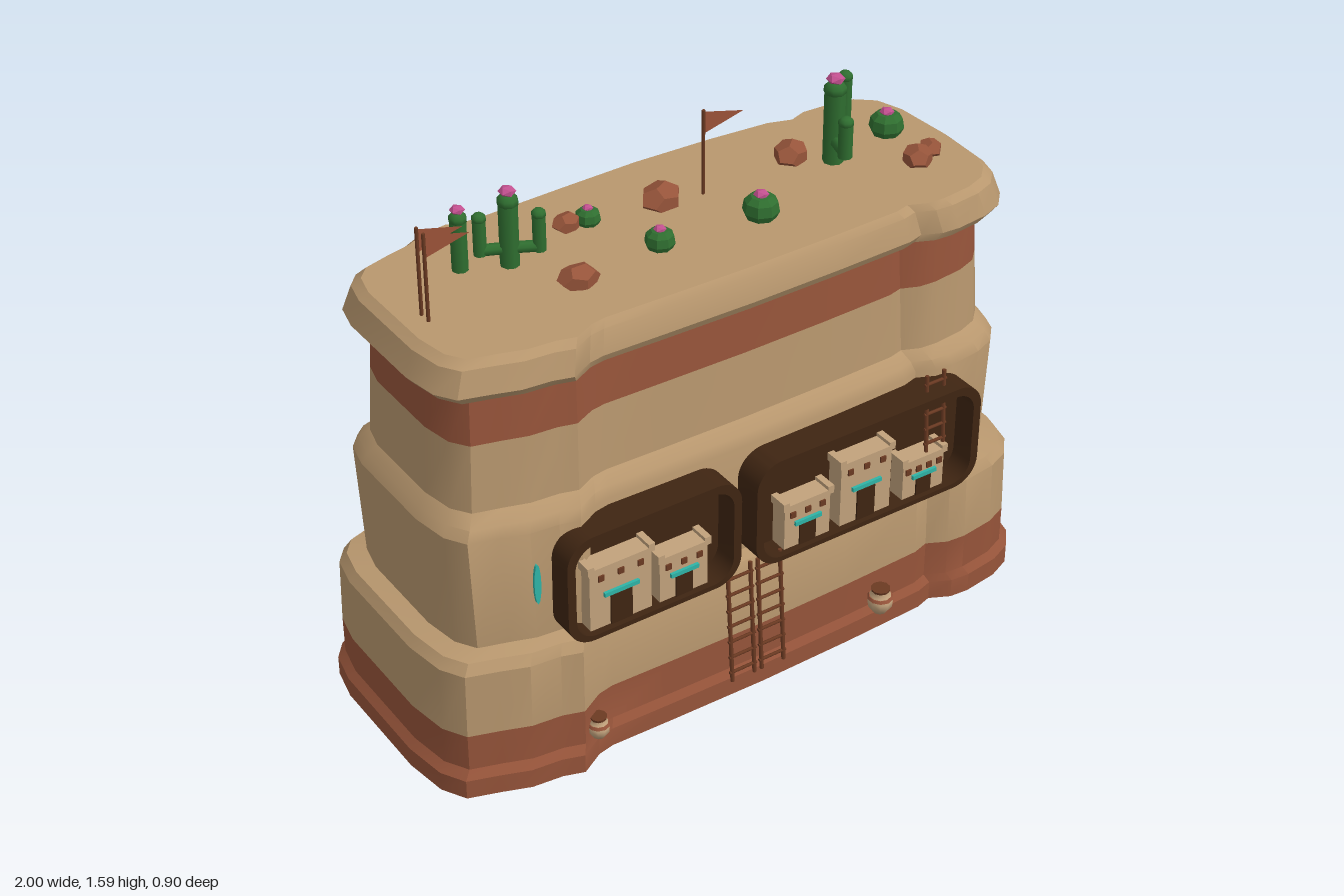
import * as THREE from 'three';
import { toCreasedNormals } from 'three/addons/utils/BufferGeometryUtils.js';

const mat = (name, color, side = THREE.FrontSide) => {
  const m = new THREE.MeshStandardMaterial({ color, side });
  m.name = name;
  return m;
};

export function createModel() {
  const M = {
    sand: mat('sandstone', 0xb8976e),
    red: mat('redRock', 0x96543a),
    dark: mat('caveShadow', 0x3f2512),
    wood: mat('wood', 0x6b3a22),
    adobe: mat('adobe', 0xc2a27c),
    teal: mat('turquoise', 0x2fb3a6),
    green: mat('cactusGreen', 0x2f6e30),
    pink: mat('flowerPink', 0xc2508f),
    flag: mat('flagCloth', 0x9a5238, THREE.DoubleSide),
  };
  const root = new THREE.Group();
  const group = (name, parent = root) => {
    const g = new THREE.Group();
    g.name = name;
    parent.add(g);
    return g;
  };
  const add = (parent, name, geo, m, x = 0, y = 0, z = 0) => {
    const mesh = new THREE.Mesh(geo, m);
    mesh.name = name;
    mesh.position.set(x, y, z);
    parent.add(mesh);
    return mesh;
  };
  const box = (p, name, m, w, h, d, x, y, z) => add(p, name, new THREE.BoxGeometry(w, h, d), m, x, y, z);
  // Cylinder between two points
  const bar = (p, name, m, a, b, r, sides = 6) => {
    const A = new THREE.Vector3(...a), B = new THREE.Vector3(...b), d = B.clone().sub(A);
    const mesh = add(p, name, new THREE.CylinderGeometry(r, r, d.length(), sides), m);
    mesh.position.copy(A).add(B).multiplyScalar(0.5);
    mesh.quaternion.setFromUnitVectors(new THREE.Vector3(0, 1, 0), d.normalize());
    return mesh;
  };

  // Mesa footprint, from the left side round the front
  const outline = [
    [1, 0], [.99, .22], [.97, .30], [.92, .36], [.85, .39], [.74, .405], [.68, .40], [.62, .37], [.57, .385], [.3, .395],
    [0, .40], [-.3, .395], [-.5, .39], [-.55, .40], [-.62, .44], [-.68, .42], [-.77, .41], [-.85, .38], [-.94, .35], [-.98, .28],
    [-1, .15], [-1, -.2], [-.98, -.30], [-.94, -.35], [-.85, -.38], [-.77, -.40], [-.71, -.435], [-.62, -.45], [-.58, -.43], [-.5, -.425],
    [-.2, -.44], [.07, -.45], [.35, -.44], [.57, -.42], [.65, -.39], [.71, -.415], [.8, -.41], [.9, -.39], [.96, -.33], [.99, -.22],
  ];
  // Loft of scaled footprints, each level is [y, scaleX, scaleZ]
  const loft = (levels, bottom = false, top = false) => {
    const n = outline.length, pos = [], idx = [];
    for (const [y, sx, sz] of levels) for (const [x, z] of outline) pos.push(x * sx, y, z * sz);
    for (let l = 0; l < levels.length - 1; l++) {
      for (let i = 0; i < n; i++) {
        const j = (i + 1) % n, a = l * n + i, b = l * n + j;
        idx.push(a, a + n, b, a + n, b + n, b);
      }
    }
    const cap = (l, up) => {
      const c = pos.length / 3;
      pos.push(0, levels[l][0], 0);
      for (let i = 0; i < n; i++) {
        const a = l * n + i, b = l * n + (i + 1) % n;
        idx.push(c, up ? b : a, up ? a : b);
      }
    };
    if (bottom) cap(0, false);
    if (top) cap(levels.length - 1, true);
    const g = new THREE.BufferGeometry();
    g.setAttribute('position', new THREE.Float32BufferAttribute(pos, 3));
    g.setIndex(idx);
    return toCreasedNormals(g, 0.5);
  };
  const mesa = group('mesa');
  add(mesa, 'redFoot', loft([[0, 1, 1], [.06, 1, 1], [.085, .98, .965], [.2, .98, .965]], true), M.red);
  add(mesa, 'sandTiers', loft([[.2, .98, .965], [.40, .975, .955], [.43, .955, .92], [.44, .905, .83],
    [.79, .92, .84], [.82, .905, .81], [.85, .88, .735], [1.05, .868, .71]]), M.sand);
  add(mesa, 'redBand', loft([[1.05, .868, .71], [1.2, .86, .685]]), M.red);
  add(mesa, 'capRock', loft([[1.2, .86, .685], [1.205, .9, .78], [1.23, .92, .815], [1.3, .895, .78], [1.32, .87, .74]], false, true), M.sand);

  // Caves: a rounded dark frame with a back wall
  const roundRect = (Type, x0, x1, y0, y1, r) => {
    const s = new Type();
    s.absarc(x1 - r, y1 - r, r, 0, Math.PI / 2);
    s.absarc(x0 + r, y1 - r, r, Math.PI / 2, Math.PI);
    s.absarc(x0 + r, y0 + r, r, Math.PI, Math.PI * 1.5);
    s.absarc(x1 - r, y0 + r, r, Math.PI * 1.5, Math.PI * 2);
    s.closePath();
    return s;
  };
  for (const [name, x0, x1] of [['rightCave', -.65, -.10], ['leftCave', -.05, .72]]) {
    const cave = group(name);
    const frame = roundRect(THREE.Shape, x0, x1, .43, .77, .08);
    frame.holes.push(roundRect(THREE.Path, x0 + .025, x1 - .025, .445, .745, .065));
    const opt = depth => ({ depth, bevelEnabled: false, curveSegments: 5 });
    add(cave, 'caveFrame', toCreasedNormals(new THREE.ExtrudeGeometry(frame, opt(.115)), .6), M.dark, 0, 0, .31);
    const back = roundRect(THREE.Shape, x0 + .01, x1 - .01, .44, .76, .07);
    add(cave, 'caveBack', new THREE.ExtrudeGeometry(back, opt(.03)), M.dark, 0, 0, .32);
  }

  // Adobe houses: [left, right, top, windows]
  for (const [x0, x1, top, wins] of [[-.58, -.37, .645, 3], [-.36, -.19, .59, 3], [.05, .22, .59, 3], [.24, .43, .655, 3], [.46, .62, .57, 4]]) {
    const house = group('house'), w = x1 - x0, cx = (x0 + x1) / 2, h = top - .445;
    box(house, 'walls', M.adobe, w - .016, h, .065, cx, .445 + h / 2, .3725);
    box(house, 'parapet', M.adobe, w, .014, .078, cx, top - .004, .3725);
    for (const s of [-1, 1]) box(house, 'corner', M.adobe, .02, .012, .078, cx + s * (w / 2 - .01), top + .008, .3725);
    box(house, 'door', M.dark, w * .32, h * .48, .008, cx, .445 + h * .24, .406);
    box(house, 'lintel', M.teal, w * .52, .013, .012, cx, .445 + h * .54, .408);
    for (let i = 0; i < wins; i++) {
      box(house, 'window', M.wood, .018, .018, .008, x0 + w * (i + .7) / (wins + .4), top - .035, .406);
    }
  }

  // Ladders
  const ladder = (x, w, y0, z0, y1, z1, rungs) => {
    const g = group('ladder');
    for (const s of [-1, 1]) bar(g, 'rail', M.wood, [x + s * w / 2, y0, z0], [x + s * w / 2, y1, z1], .006);
    for (let i = 0; i < rungs; i++) {
      const t = (i + .6) / (rungs + .2), y = y0 + (y1 - y0) * t, z = z0 + (z1 - z0) * t;
      bar(g, 'rung', M.wood, [x - w / 2 - .008, y, z], [x + w / 2 + .008, y, z], .005);
    }
  };
  ladder(-.09, .075, .08, .43, .45, .40, 7);
  ladder(.01, .075, .08, .43, .45, .40, 7);
  ladder(.585, .06, .57, .395, .82, .38, 5);

  // Clay pots with painted bands
  for (const [x, r, z] of [[-.56, .032, .415], [.4, .038, .415]]) {
    const pot = group('pot');
    const profile = [[0, 0], [.55, 0], [.95, .6], [1, 1.1], [.8, 1.6], [.55, 1.8], [.7, 2.1], [0, 2.05]].map(([a, b]) => new THREE.Vector2(a * r, b * r));
    add(pot, 'potBody', new THREE.LatheGeometry(profile, 10), M.adobe, x, .085, z);
    add(pot, 'potRim', new THREE.CylinderGeometry(r * .75, r * .7, .008, 10), M.wood, x, .085 + r * 2.05, z);
    add(pot, 'potBand', new THREE.CylinderGeometry(r * .9, r * 1.02, .008, 10), M.red, x, .085 + r * 1.4, z);
  }

  // Turquoise wall marking
  const mark = add(root, 'wallMarking', new THREE.CylinderGeometry(.065, .065, .008, 12), M.teal, -.697, .625, .35);
  mark.rotation.x = Math.PI / 2;
  mark.scale.x = .16;

  // Pennants
  for (const [x, z] of [[-.81, .02], [-.81, .055], [.12, -.085]]) {
    const g = group('pennant');
    bar(g, 'pole', M.wood, [x, 1.31, z], [x, 1.575, z], .005);
    const tri = new THREE.Shape([[0, 0], [.13, .033], [0, .067]].map(p => new THREE.Vector2(...p)));
    add(g, 'cloth', new THREE.ShapeGeometry(tri), M.flag, x, 1.503, z);
  }

  // Cacti
  const flower = (p, x, y, z, r) => {
    add(p, 'flower', new THREE.IcosahedronGeometry(r, 0), M.pink, x, y, z).scale.y = .6;
  };
  const stem = (p, x, z, y0, y1, r) => {
    bar(p, 'stem', M.green, [x, y0, z], [x, y1 - r * .5, z], r, 8);
    add(p, 'stemTip', new THREE.SphereGeometry(r * 1.12, 8, 5), M.green, x, y1 - r * .8, z).scale.y = .8;
  };
  const saguaro = (x, z, top, r, arms) => {
    const g = group('tallCactus');
    stem(g, x, z, 1.3, top, r);
    flower(g, x, top + .008, z, r * .9);
    for (const [ax, az, y0, y1] of arms) {
      bar(g, 'elbow', M.green, [x, y0, z], [ax, y0, az], r * .6, 8);
      stem(g, ax, az, y0 - .012, y1, r * .68);
    }
  };
  saguaro(-.62, -.115, 1.49, .023, []);
  saguaro(-.5, -.065, 1.53, .027, [[-.57, -.095, 1.37, 1.48], [-.43, -.03, 1.37, 1.48]]);
  saguaro(.52, -.035, 1.565, .03, [[.495, .05, 1.39, 1.5], [.595, -.09, 1.40, 1.55]]);
  for (const [x, z, r] of [[-.22, -.13, .034], [-.13, .08, .04], [.18, .1, .049], [.74, -.08, .048]]) {
    const g = group('barrelCactus');
    const p = [[0, 0], [.8, 0], [1.05, .5], [.95, 1.1], [.6, 1.4], [0, 1.45]].map(([a, b]) => new THREE.Vector2(a * r, b * r));
    add(g, 'barrel', toCreasedNormals(new THREE.LatheGeometry(p, 8), .3), M.green, x, 1.315, z);
    flower(g, x, 1.315 + r * 1.48, z, r * .45);
  }

  // Loose rocks on the cap
  [[-.4, .11, .06], [-.28, -.14, .046], [0, -.11, .07], [.43, -.11, .062], [.71, .1, .055], [.77, .08, .042]].forEach(([x, z, r], i) => {
    const rock = add(root, 'rock', new THREE.DodecahedronGeometry(r, 0), M.red, x, 1.335, z);
    rock.scale.set(1, .6, .8);
    rock.rotation.y = i * .25;
  });
  return root;
}
